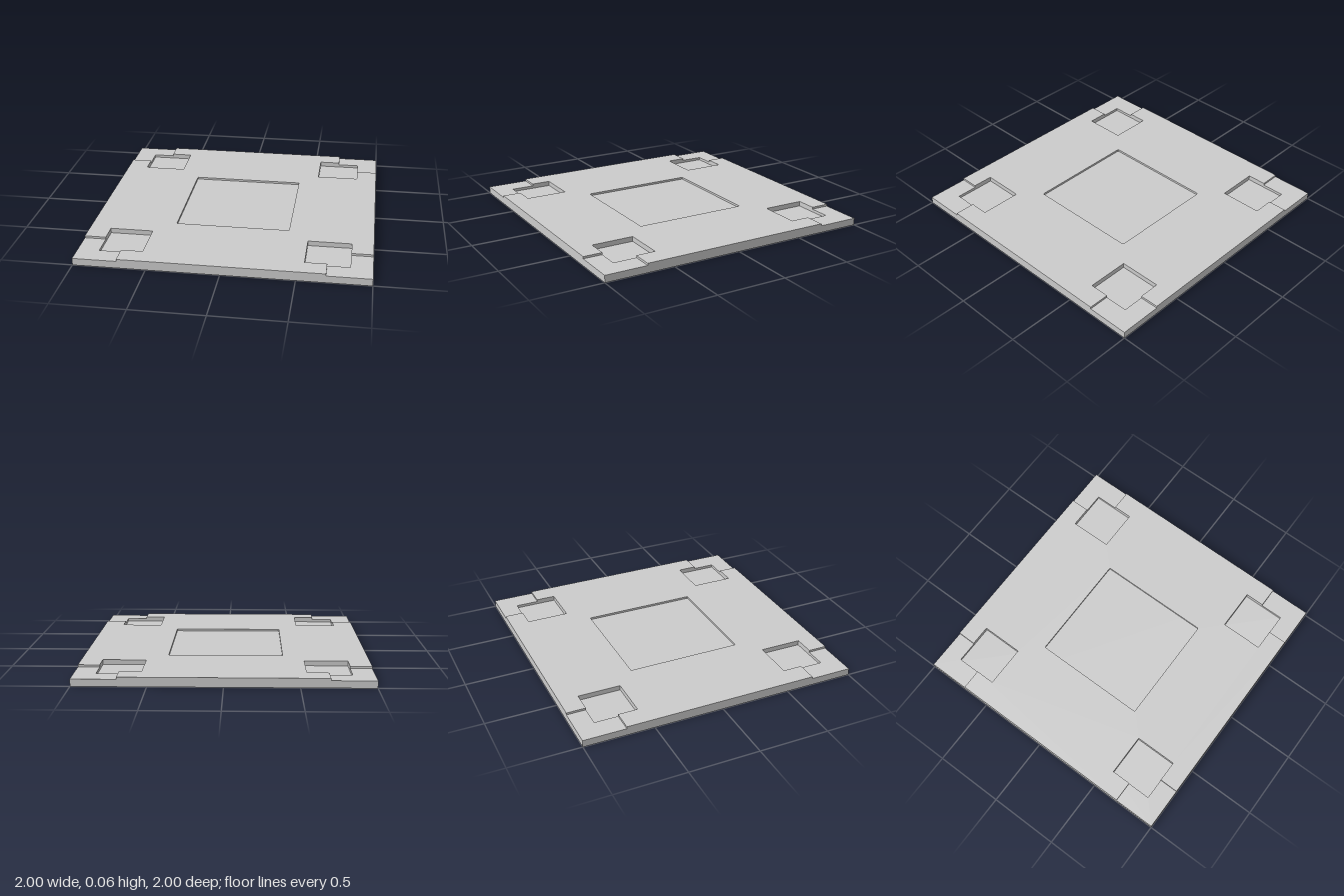
import * as THREE from 'three';

// Heights of the stacked levels
const POCKET_FLOOR = 0.03, STEP = 0.05, TOP = 0.065;
// Corner pocket limits, measured outward from the centre
const XI = 0.547, XO = 0.85, ZI = 0.558, ZO = 0.863, CUT = 0.697;

const material = new THREE.MeshStandardMaterial({ color: 0xcccccc, flatShading: true });

const toPoints = (list) => list.map(([x, z]) => new THREE.Vector2(x, z));

const rect = (x0, x1, z0, z1) => toPoints([[x0, z0], [x1, z0], [x1, z1], [x0, z1]]);

// Extrudes a plan outline (x, z) between two heights
function layer(name, outline, holes, y0, y1) {
  const shape = new THREE.Shape(outline);
  shape.holes = holes.map((h) => new THREE.Path(h));
  const geometry = new THREE.ExtrudeGeometry(shape, { depth: y1 - y0, bevelEnabled: false });
  geometry.rotateX(Math.PI / 2).translate(0, y1, 0);
  const mesh = new THREE.Mesh(geometry, material);
  mesh.name = name;
  return mesh;
}

export function createModel() {
  const group = new THREE.Group();
  group.name = 'recessedTile';

  const square = rect(-1, 1, -1, 1);

  // Solid base, whose top is the floor of the pockets
  group.add(layer('base', square, [], 0, POCKET_FLOOR));

  // Middle layer: full square with a pocket near each corner
  const pockets = [];
  for (const sx of [-1, 1]) {
    for (const sz of [-1, 1]) pockets.push(rect(sx * XI, sx * XO, sz * ZI, sz * ZO));
  }
  group.add(layer('pocketLayer', square, pockets, POCKET_FLOOR, STEP));

  // Top layer: stepped-down corners joined to the pockets
  const corner = [[1, CUT], [XO, CUT], [XO, ZI], [XI, ZI], [XI, ZO], [CUT, ZO], [CUT, 1]];
  const outline = [];
  for (const [sx, sz] of [[1, 1], [-1, 1], [-1, -1], [1, -1]]) {
    const pts = corner.map(([x, z]) => [x * sx, z * sz]);
    outline.push(...(sx * sz > 0 ? pts : pts.reverse()));
  }

  // Shallow central recess with slightly clipped corners
  const W = 0.403, D = 0.415, C = 0.005;
  const recess = toPoints([
    [W - C, -D], [W, -D + C], [W, D - C], [W - C, D],
    [-W + C, D], [-W, D - C], [-W, -D + C], [-W + C, -D],
  ]);
  group.add(layer('topPlate', toPoints(outline), [recess], STEP, TOP));

  return group;
}
